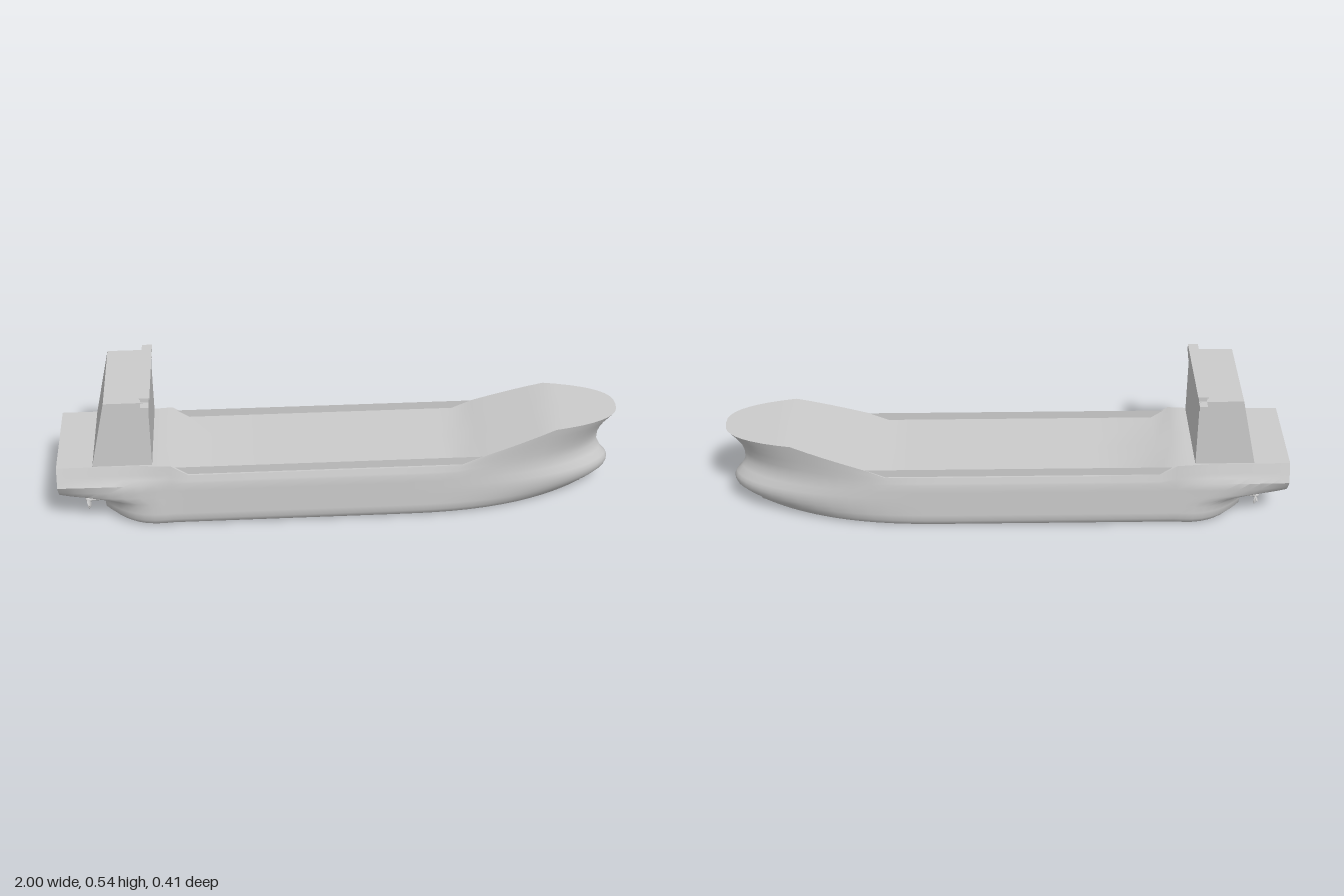
import * as THREE from 'three';
import { toCreasedNormals } from 'three/addons/utils/BufferGeometryUtils.js';

const material = new THREE.MeshStandardMaterial({ color: 0xcccccc });
const thin = new THREE.MeshStandardMaterial({ color: 0xcccccc, side: THREE.DoubleSide });

// Waterlines, keel to deck: height, stern x, stern half width, stem x, bow sharpness, half width.
// Heights above 1 are fractions (minus 1) of the way from the knuckle to the sheer line.
const KNUCKLE = 0.19;
const LEVELS = [
  [0.004, -0.81, 0.06, 0.895, 0.95, 0.168],
  [0.01, -0.83, 0.08, 0.9, 0.9, 0.18],
  [0.035, -0.843, 0.1, 0.92, 0.8, 0.196],
  [0.06, -0.845, 0.105, 0.955, 0.68, 0.196],
  [0.085, -0.855, 0.11, 0.978, 0.6, 0.196],
  [0.105, -0.885, 0.12, 0.985, 0.57, 0.196],
  [0.12, -0.95, 0.14, 0.984, 0.56, 0.196],
  [0.135, -1, 0.16, 0.978, 0.57, 0.196],
  [0.16, -1, 0.182, 0.957, 0.62, 0.196],
  [KNUCKLE, -1, 0.2, 0.942, 0.65, 0.196],
  [1.25, -1, 0.194, 0.943, 0.59, 0.194],
  [1.5, -1, 0.188, 0.953, 0.52, 0.192],
  [1.75, -1, 0.182, 0.973, 0.45, 0.19],
  [2, -1, 0.176, 1, 0.39, 0.188],
];
// Stations along the deck edge, stern to stem
const STATIONS = [-1, -0.97, -0.94, -0.9, -0.86, -0.82, -0.77, -0.71, -0.65, -0.6, -0.54, -0.3, 0, 0.2,
  0.3, 0.36, 0.43, 0.5, 0.57, 0.64, 0.7, 0.76, 0.81, 0.86, 0.9, 0.93, 0.955, 0.975, 0.99, 0.997, 1];
const SHEER = [[-1, 0.26], [-0.6, 0.26], [-0.54, 0.22], [0.43, 0.22], [0.5, 0.25], [0.76, 0.335], [1, 0.335]];

function sheer(x) {
  for (let i = 1; i < SHEER.length; i++) {
    const [x0, y0] = SHEER[i - 1], [x1, y1] = SHEER[i];
    if (x <= x1) return y0 + (y1 - y0) * (x - x0) / (x1 - x0);
  }
  return SHEER[SHEER.length - 1][1];
}

// One closed waterline: stern centre, port side, stem, starboard side, stern centre
function waterline([h, sternX, sternHalf, stemX, sharp, half]) {
  const side = STATIONS.map((d) => {
    const y = h <= 1 ? h : KNUCKLE + (sheer(d) - KNUCKLE) * (h - 1);
    let x = d, z = half;
    if (d < -0.6) {
      const s = (-0.6 - d) / 0.4;
      x = -0.6 + (sternX + 0.6) * s;
      const full = half + (h > 1 ? -0.012 * (h - 1) : 0.007) * Math.min(1, s * 3);
      z = full + (sternHalf - full) * s ** 3;
    } else if (d > 0.2) {
      const b = (d - 0.2) / 0.8;
      x = 0.2 + (stemX - 0.2) * b;
      z = half * Math.max(0, 1 - b ** 2.6) ** sharp;
    }
    return new THREE.Vector3(x, y, z);
  });
  const centre = side[0].clone().setZ(0);
  const mirrored = side.slice(0, -1).reverse().map((p) => new THREE.Vector3(p.x, p.y, -p.z));
  return [centre, ...side, ...mirrored, centre];
}

// Hull skin with keel and deck closed onto the centre line
function hullGeometry() {
  const rows = LEVELS.map(waterline);
  const flatten = (row, drop) => row.map((p) => new THREE.Vector3(p.x, p.y - drop, 0));
  rows.unshift(flatten(rows[0], 0.004));
  rows.push(flatten(rows[rows.length - 1], 0));
  const positions = [];
  const tri = (a, b, c) => {
    const area = b.clone().sub(a).cross(c.clone().sub(a)).length();
    if (area > 1e-9) for (const p of [a, b, c]) positions.push(p.x, p.y, p.z);
  };
  for (let r = 0; r + 1 < rows.length; r++) {
    for (let c = 0; c + 1 < rows[r].length; c++) {
      const a = rows[r][c], b = rows[r][c + 1], d = rows[r + 1][c], e = rows[r + 1][c + 1];
      tri(a, b, e);
      tri(a, e, d);
    }
  }
  const geometry = new THREE.BufferGeometry();
  geometry.setAttribute('position', new THREE.Float32BufferAttribute(positions, 3));
  return toCreasedNormals(geometry, 0.65);
}

function polygon(points) {
  return new THREE.Shape(points.map(([x, y]) => new THREE.Vector2(x, y)));
}

function extrude(points, depth) {
  return new THREE.ExtrudeGeometry(polygon(points), { depth, bevelEnabled: false }).translate(0, 0, -depth / 2);
}

function add(parent, name, geometry, mat = material) {
  const mesh = new THREE.Mesh(geometry, mat);
  mesh.name = name;
  parent.add(mesh);
  return mesh;
}

// Shaft, hub and four pitched blades, turning about x
function propeller() {
  const group = new THREE.Group();
  add(group, 'propellerShaft', new THREE.CylinderGeometry(0.006, 0.006, 0.09, 12).rotateZ(Math.PI / 2).translate(0.045, 0, 0));
  add(group, 'propellerHub', new THREE.SphereGeometry(0.01, 12, 8).scale(1.4, 1, 1));
  for (let i = 0; i < 4; i++) {
    const blade = new THREE.SphereGeometry(1, 12, 8).scale(0.003, 0.018, 0.011);
    blade.rotateY(0.6).translate(0, 0.023, 0).rotateX(i * Math.PI / 2);
    add(group, 'propellerBlade', blade);
  }
  return group;
}

export function createModel() {
  const ship = new THREE.Group();
  ship.name = 'cargoShip';
  add(ship, 'hull', hullGeometry());

  // Low bulwarks along the cargo deck
  for (const side of [-1, 1]) {
    const plate = new THREE.ShapeGeometry(polygon([[-0.54, 0.22], [0.43, 0.22], [0.5, 0.25], [-0.585, 0.25]]));
    add(ship, 'bulwark', plate, thin).position.z = side * 0.181;
  }

  // Deckhouse with sloping aft wall
  add(ship, 'deckhouse', extrude([[-0.875, 0.255], [-0.665, 0.255], [-0.665, 0.52], [-0.818, 0.52]], 0.346));

  // Bridge wings and roof across the front of the deckhouse
  const outline = [[0.173, 0.485], [0.203, 0.502], [0.203, 0.519], [0.17, 0.519], [0.17, 0.536]];
  const mirrored = outline.map(([z, y]) => [-z, y]).reverse();
  const bridge = extrude([...outline, ...mirrored], 0.028).rotateY(Math.PI / 2);
  add(ship, 'bridgeWings', bridge).position.x = -0.676;
  add(ship, 'bridgeRoof', new THREE.BoxGeometry(0.036, 0.005, 0.35)).position.set(-0.676, 0.5375, 0);

  // Twin propellers
  for (const side of [-1, 1]) {
    const screw = propeller();
    screw.name = side > 0 ? 'portPropeller' : 'starboardPropeller';
    screw.position.set(-0.905, 0.057, side * 0.085);
    ship.add(screw);
  }
  return ship;
}
